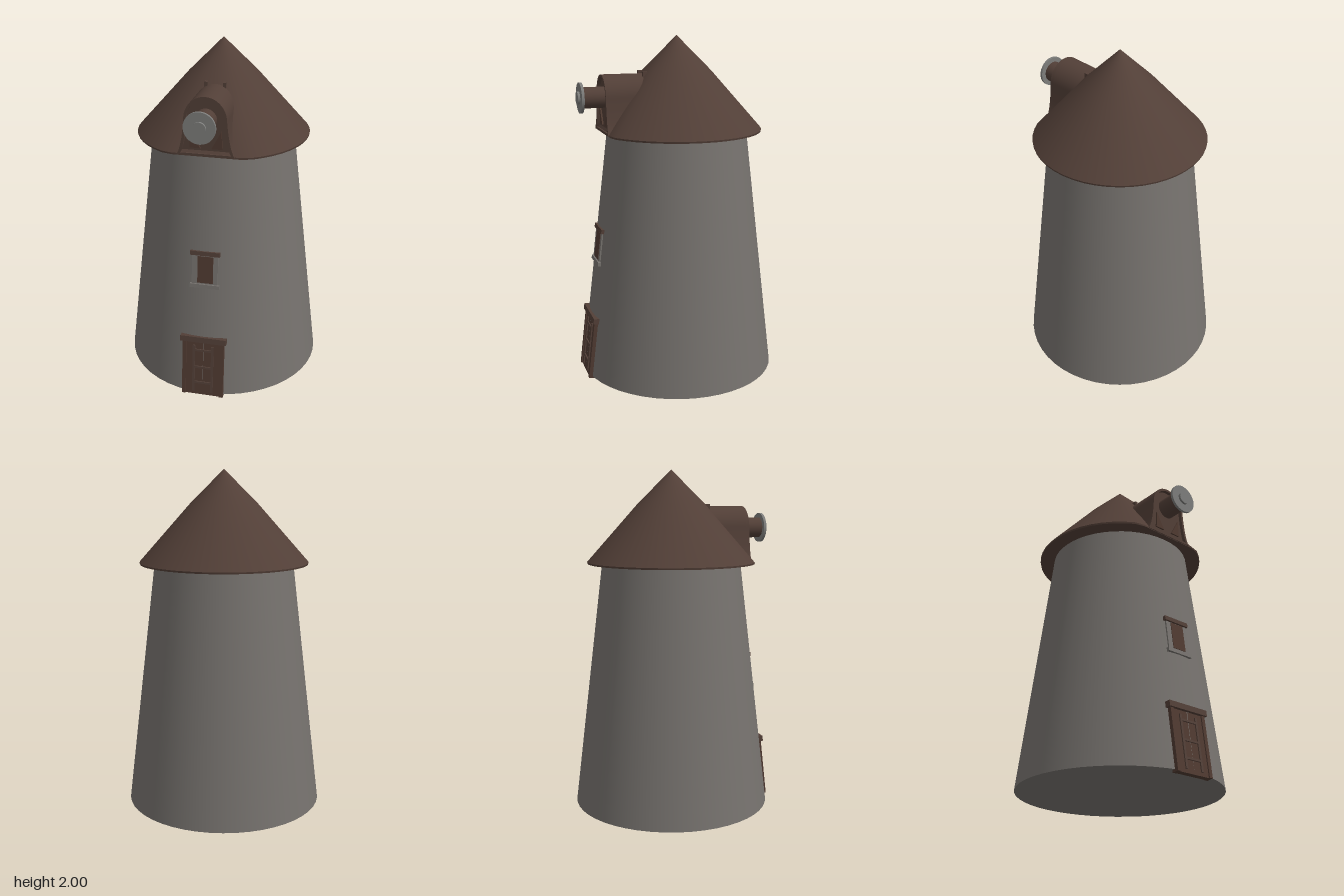
import * as THREE from 'three';
import { toCreasedNormals } from 'three/addons/utils/BufferGeometryUtils.js';

const mat = (name, color, side = THREE.FrontSide) => {
  const m = new THREE.MeshStandardMaterial({ color, side });
  m.name = name;
  return m;
};

export function createModel() {
  const stone = mat('stone', 0x76726e);
  const roofWood = mat('roofWood', 0x523f37, THREE.DoubleSide);
  const doorWood = mat('doorWood', 0x4f3a31);
  const metal = mat('metal', 0x7d7d7b);

  const model = new THREE.Group();
  model.name = 'towerMill';
  const add = (name, geo, material, x = 0, y = 0, z = 0, parent = model) => {
    const mesh = new THREE.Mesh(geo, material);
    mesh.name = name;
    mesh.position.set(x, y, z);
    parent.add(mesh);
    return mesh;
  };
  const box = (name, w, h, d, material, x, y, z, parent) =>
    add(name, new THREE.BoxGeometry(w, h, d), material, x, y, z, parent);
  const drum = (name, r, z0, z1, material, y) => {
    const geo = new THREE.CylinderGeometry(r, r, z1 - z0, 28).rotateX(Math.PI / 2);
    return add(name, geo, material, 0, y, (z0 + z1) / 2);
  };

  // tapered tower
  add('tower', new THREE.CylinderGeometry(0.408, 0.582, 1.46, 48), stone, 0, 0.74, 0);

  // conical cap, with its eave trimmed flat under the dormer
  const profile = [[0, 1.47], [0.41, 1.455], [0.495, 1.455], [0.497, 1.465], [0.2, 1.8], [0, 2]]
    .map(([r, y]) => new THREE.Vector2(r, y));
  const cap = new THREE.LatheGeometry(profile, 48);
  const p = cap.attributes.position;
  for (let i = 0; i < p.count; i++) p.setZ(i, Math.min(p.getZ(i), 0.445));
  add('cap', toCreasedNormals(cap, 0.5), roofWood);

  // arched dormer with flared feet; inset narrows the outline
  const arch = (inset, Type = THREE.Shape) => {
    const s = new Type(), w = 0.118 - inset, f = 0.16 - inset * 1.5, base = 1.458 + inset;
    s.moveTo(-f, base);
    s.lineTo(f, base);
    s.quadraticCurveTo(w + 0.012, 1.51, w, 1.66);
    s.absellipse(0, 1.66, w, 0.128 - inset, 0, Math.PI, false, 0);
    s.quadraticCurveTo(-w - 0.012, 1.51, -f, base);
    return s;
  };
  const extrude = (shape, depth) => toCreasedNormals(
    new THREE.ExtrudeGeometry(shape, { depth, bevelEnabled: false, curveSegments: 14 }), 0.6);
  add('dormer', extrude(arch(0), 0.25), roofWood, 0, 0, 0.18);
  const rim = arch(0);
  rim.holes.push(arch(0.014, THREE.Path));
  add('dormerRim', extrude(rim, 0.02), roofWood, 0, 0, 0.43);

  // braces and ridge pegs, mirrored
  for (const s of [-1, 1]) {
    const tri = new THREE.Shape([[0.03, 1.5], [0.09, 1.5], [0.085, 1.6]]
      .map(([x, y]) => new THREE.Vector2(s * x, y)));
    add('dormerBrace', extrude(tri, 0.009), doorWood, 0, 0, 0.431);
    box('ridgePeg', 0.018, 0.03, 0.03, roofWood, s * 0.052, 1.785, 0.205);
  }

  // windshaft and hub
  drum('windshaft', 0.06, 0.4, 0.565, roofWood, 1.66);
  drum('hubDisc', 0.087, 0.562, 0.577, metal, 1.66);
  drum('hubCap', 0.037, 0.57, 0.59, metal, 1.66);

  // wall fittings lean with the tower face; local y runs up the wall
  const wallGroup = (name, y) => {
    const g = new THREE.Group();
    g.name = name;
    g.position.set(0, y, 0.582 - 0.119 * (y - 0.01));
    g.rotation.x = -0.119;
    model.add(g);
    return g;
  };

  const door = wallGroup('door', 0);
  box('doorPanel', 0.21, 0.345, 0.03, doorWood, 0, 0.172, -0.015, door);
  for (const s of [-1, 1]) {
    box('doorJamb', 0.022, 0.345, 0.04, doorWood, s * 0.112, 0.172, -0.013, door);
    box('doorStile', 0.014, 0.3, 0.008, roofWood, s * 0.055, 0.17, 0.003, door);
  }
  for (const y of [0.08, 0.18, 0.29]) box('doorRail', 0.12, 0.012, 0.008, roofWood, 0, y, 0.003, door);
  box('doorLintel', 0.27, 0.033, 0.05, roofWood, 0, 0.362, -0.009, door);

  const win = wallGroup('window', 0.79);
  box('windowSurround', 0.15, 0.17, 0.02, stone, 0, 0, -0.008, win);
  box('windowPane', 0.09, 0.16, 0.008, doorWood, 0.003, 0.002, 0.001, win);
  box('windowLintel', 0.17, 0.025, 0.035, roofWood, 0, 0.1, -0.008, win);
  box('windowSill', 0.17, 0.022, 0.035, stone, 0, -0.097, -0.008, win);

  return model;
}
